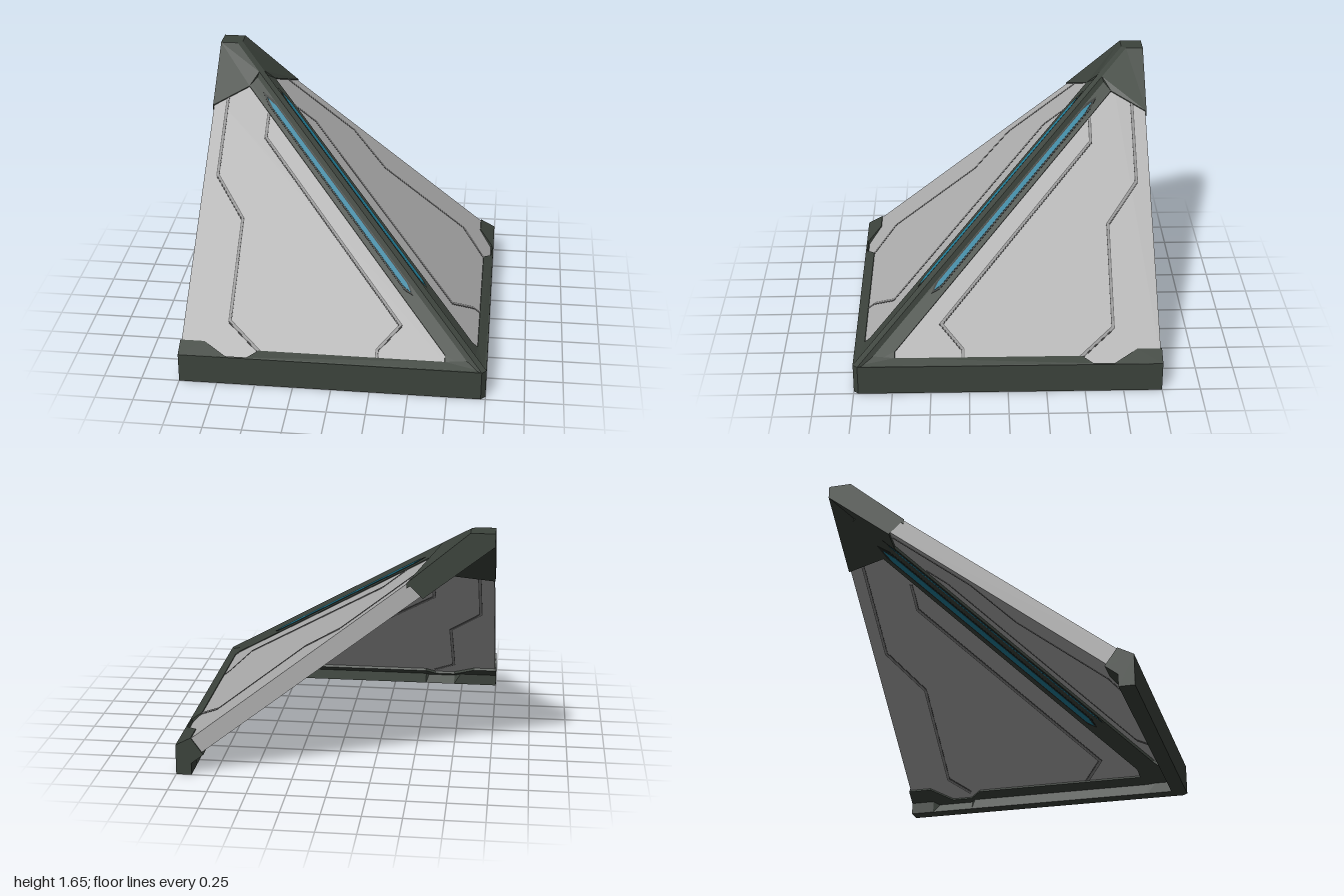
import * as THREE from 'three';

const SLOPE = 0.784, EAVE = 0.2;
const FACE = -0.025, INNER = -0.2; // heights of the frame's outer and inner faces
const mat = (name, color) => Object.assign(new THREE.MeshStandardMaterial({ color }), { name });

// A point [x, z, extra height] lifted onto the roof plane, shifted by h
const lift = (pts, h) => pts.map(([x, z, d = 0]) =>
  new THREE.Vector3(x, Math.max(0, EAVE + SLOPE * (1 - z) + h + d), z));
const level = (pts, y) => pts.map(([x, z]) => new THREE.Vector3(x, y, z));

// Solid between an upper and a lower outline with matching corners
function prism(top, bottom) {
  const flat = (ps) => ps.map((p) => new THREE.Vector2(p.x, p.z));
  if (THREE.ShapeUtils.area(flat(top)) > 0) {
    top = [...top].reverse();
    bottom = [...bottom].reverse();
  }
  const out = [];
  const tri = (a, b, c) => out.push(...a.toArray(), ...b.toArray(), ...c.toArray());
  const cap = (ps, up) => {
    for (const [i, j, k] of THREE.ShapeUtils.triangulateShape(flat(ps), [])) {
      const a = ps[i], b = ps[j], c = ps[k];
      const ny = (b.z - a.z) * (c.x - a.x) - (b.x - a.x) * (c.z - a.z);
      if ((ny > 0) === up) tri(a, b, c); else tri(a, c, b);
    }
  };
  cap(top, true);
  cap(bottom, false);
  top.forEach((t, i) => {
    const j = (i + 1) % top.length;
    tri(bottom[i], bottom[j], top[j]);
    tri(bottom[i], top[j], t);
  });
  const g = new THREE.BufferGeometry();
  g.setAttribute('position', new THREE.Float32BufferAttribute(out, 3));
  g.computeVertexNormals();
  return g;
}

// Outline of a mitred band of constant width along a path
function band(path, half) {
  const left = [], right = [];
  const dir = (i) => new THREE.Vector2(path[i + 1][0] - path[i][0], path[i + 1][1] - path[i][1]).normalize();
  path.forEach(([x, z], i) => {
    const a = dir(Math.max(0, i - 1)), b = dir(Math.min(path.length - 2, i));
    const m = new THREE.Vector2(-a.y - b.y, a.x + b.x).normalize();
    const w = half / (m.x * -a.y + m.y * a.x);
    left.push([x + m.x * w, z + m.y * w]);
    right.unshift([x - m.x * w, z - m.y * w]);
  });
  return [...left, ...right];
}

// Slim pointed hexagon parallel to the ridge, at a given distance from it
function sliver(t0, t1, off, w) {
  return [[t0, 0], [t0 + 0.06, -w], [t1 - 0.04, -w], [t1, 0], [t1 - 0.04, w], [t0 + 0.06, w]]
    .map(([t, o]) => [t - (off + o) / 2, t + (off + o) / 2]);
}

export function createModel() {
  const frameMat = mat('frame dark green', 0x3c433c);
  const panelMat = mat('panel grey', 0xaeaeae);
  const lightMat = mat('light strip blue', 0x217e99);
  const grooveMat = mat('groove black', 0x222723);
  const seamMat = mat('seam edge grey', 0x545454);
  const seamMidMat = mat('seam middle grey', 0x8c8c8c);

  const model = new THREE.Group();
  model.name = 'cornerRoof';
  const halves = ['front', 'right'].map((side) => {
    const g = new THREE.Group();
    g.name = side + 'Slope';
    model.add(g);
    return g;
  });

  // Each part is made once per slope; the second is mirrored across the ridge
  const add = (name, material, top, bottom) => halves.forEach((half, i) => {
    const side = (ps) => (i ? ps.map((p) => new THREE.Vector3(p.z, p.y, p.x)) : ps);
    const mesh = new THREE.Mesh(prism(side(top), side(bottom)), material);
    mesh.name = name;
    half.add(mesh);
  });
  const plate = (name, material, outline, h, thick) =>
    add(name, material, lift(outline, h), lift(outline, h - thick));

  // Open frame: eave edge with bracket, ridge bar and peak cap
  add('frame', frameMat,
    lift([[-1, 1], [0.97, 1], [-0.88, -0.85], [-1, -0.85], [-1, -0.47], [-0.76, -0.6], [0.73, 0.9],
      [0.73, 0.935], [-0.48, 0.935], [-0.55, 0.99], [-0.69, 0.99], [-0.84, 0.9], [-1, 0.9]], FACE),
    lift([[-1, 0.94], [0.91, 0.94], [-0.88, -0.85], [-1, -0.85], [-1, -0.57], [-0.74, -0.62], [0.68, 0.81],
      [0.69, 0.86], [-0.48, 0.86], [-0.55, 0.9], [-0.69, 0.9], [-0.84, 0.82], [-1, 0.82]], INNER));

  // Raised rib along the ridge, with a chamfered crest
  add('ridgeRib', frameMat,
    lift([[0.945, 1, FACE], [0.97, 1], [-0.88, -0.85], [-0.905, -0.85, FACE]], 0),
    lift([[0.945, 1], [0.97, 1], [-0.88, -0.85], [-0.905, -0.85]], -0.06));
  add('ridgeChamfer', frameMat,
    lift([[0.97, 1], [0.985, 0.985, -0.012], [-0.865, -0.865, -0.012], [-0.88, -0.85]], 0),
    lift([[0.91, 0.94], [0.925, 0.925, -0.012], [-0.865, -0.865, -0.012], [-0.88, -0.85]], INNER));

  // Peak cap: sloping cover and flat-topped block
  const cover = [[-1, -0.85], [-0.88, -0.85], [-0.7, -0.67], [-0.76, -0.6, FACE], [-1, -0.47, FACE]];
  add('capCover', frameMat, lift(cover, 0), lift(cover.map(([x, z]) => [x, z]), -0.06));
  const peak = [[-1, -1], [-0.865, -0.865], [-0.88, -0.85], [-1, -0.85]];
  add('peakBlock', frameMat, level(peak, 1.65), lift(peak, INNER));

  // Upright base beam with the bracket notch, mitred at the corner
  add('baseBeam', frameMat,
    lift([[-1, 1], [0.97, 1], [0.985, 0.985, -0.012], [0.92, 0.92, FACE], [0.73, 0.935, FACE],
      [-0.48, 0.935, FACE], [-0.55, 0.99, -0.004], [-0.69, 0.99, -0.004], [-0.84, 0.9, FACE], [-1, 0.9, FACE]], 0),
    level([[-1, 1], [0.97, 1], [0.985, 0.985], [0.9, 0.9], [0.73, 0.9],
      [-0.48, 0.9], [-0.55, 0.9], [-0.69, 0.9], [-0.84, 0.9], [-1, 0.9]], 0));

  // Recessed panel
  add('panel', panelMat,
    lift([[-0.992, 0.992], [0.8, 0.992], [0.8, 0.93], [-0.78, -0.65], [-0.992, -0.53]], -0.032),
    lift([[-0.992, 0.92], [0.76, 0.92], [0.76, 0.85], [-0.75, -0.67], [-0.992, -0.64]], -0.178));

  // Panel seams on both faces
  const seams = [
    [[-0.9, -0.53], [-0.9, -0.05], [-0.69, 0.2], [-0.69, 0.78], [-0.47, 0.94]],
    [[-0.6, -0.44], [-0.6, -0.29], [0.43, 0.75], [0.29, 0.89], [0.29, 0.94]],
  ];
  const innerSeams = [
    [[-0.9, -0.6], ...seams[0].slice(1, 4), [-0.55, 0.88]],
    seams[1].slice(0, 4),
  ];
  seams.forEach((path) => {
    plate('seamEdge', seamMat, band(path, 0.011), -0.03, 0.006);
    plate('seamMiddle', seamMidMat, band(path, 0.006), -0.0285, 0.006);
  });
  innerSeams.forEach((path) => {
    plate('innerSeamEdge', seamMat, band(path, 0.011), -0.174, 0.006);
    plate('innerSeamMiddle', seamMidMat, band(path, 0.006), -0.1755, 0.006);
  });

  // Light strips beside the ridge, outside and inside
  plate('lightGroove', grooveMat, sliver(-0.61, 0.54, 0.092, 0.031), FACE + 0.002, 0.006);
  plate('lightStrip', lightMat, sliver(-0.575, 0.525, 0.092, 0.019), FACE + 0.004, 0.006);
  plate('innerLightGroove', grooveMat, sliver(-0.73, 0.49, 0.06, 0.031), INNER + 0.004, 0.006);
  plate('innerLightStrip', lightMat, sliver(-0.7, 0.475, 0.06, 0.02), INNER + 0.002, 0.006);
  return model;
}
